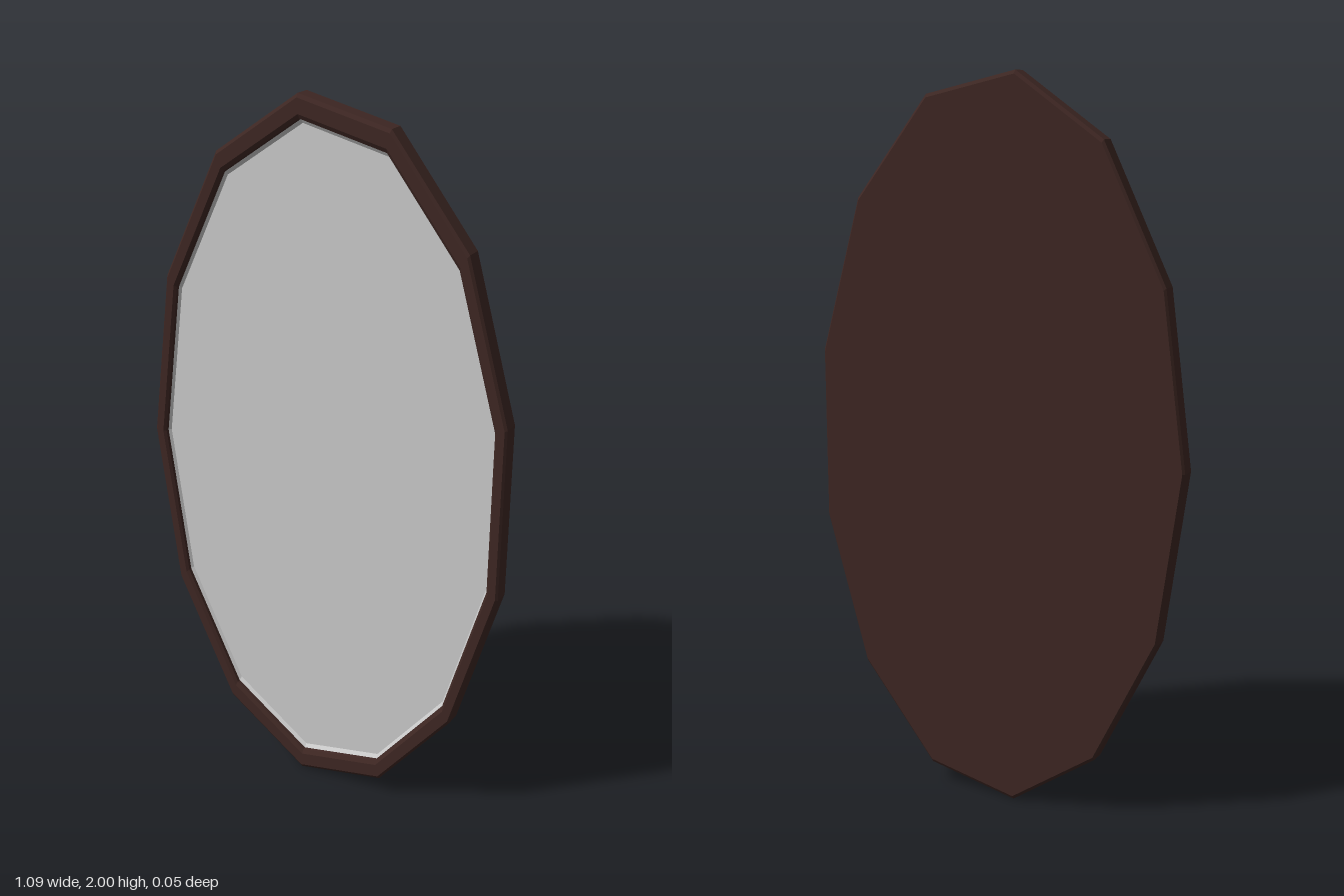
import * as THREE from 'three';

const SIDES = 13;
const RX = 0.553, RY = 1.0073; // half axes of the oval
const CX = 0.008; // the odd side count shifts the centre slightly

// Turn a [radius fraction, depth] profile round the z axis and stretch it to the oval
function ovalLathe(profile) {
  const points = profile.map(([r, z]) => new THREE.Vector2(r, z));
  const geometry = new THREE.LatheGeometry(points, SIDES, -Math.PI / 2);
  geometry.rotateX(Math.PI / 2);
  geometry.scale(RX, RY, 1);
  geometry.translate(CX, 1, 0);
  return geometry;
}

function addPart(group, name, profile, color) {
  const material = new THREE.MeshStandardMaterial({ color, flatShading: true });
  const mesh = new THREE.Mesh(ovalLathe(profile), material);
  mesh.name = name;
  group.add(mesh);
}

export function createModel() {
  const group = new THREE.Group();
  group.name = 'ovalMirror';

  // Closed back, bevelled outer rim, front band and inner lip
  addPart(group, 'frame', [
    [0, -0.0275], [0.99, -0.0275], [1, -0.021], [1, 0.021],
    [0.99, 0.0275], [0.95, 0.0275], [0.938, 0.021], [0.935, 0.006],
  ], 0x3e2723);

  // Recessed glass with a narrow raised edge
  addPart(group, 'mirrorGlass', [
    [0.936, 0.013], [0.925, 0.006], [0, 0.006],
  ], 0xcccccc);

  return group;
}
